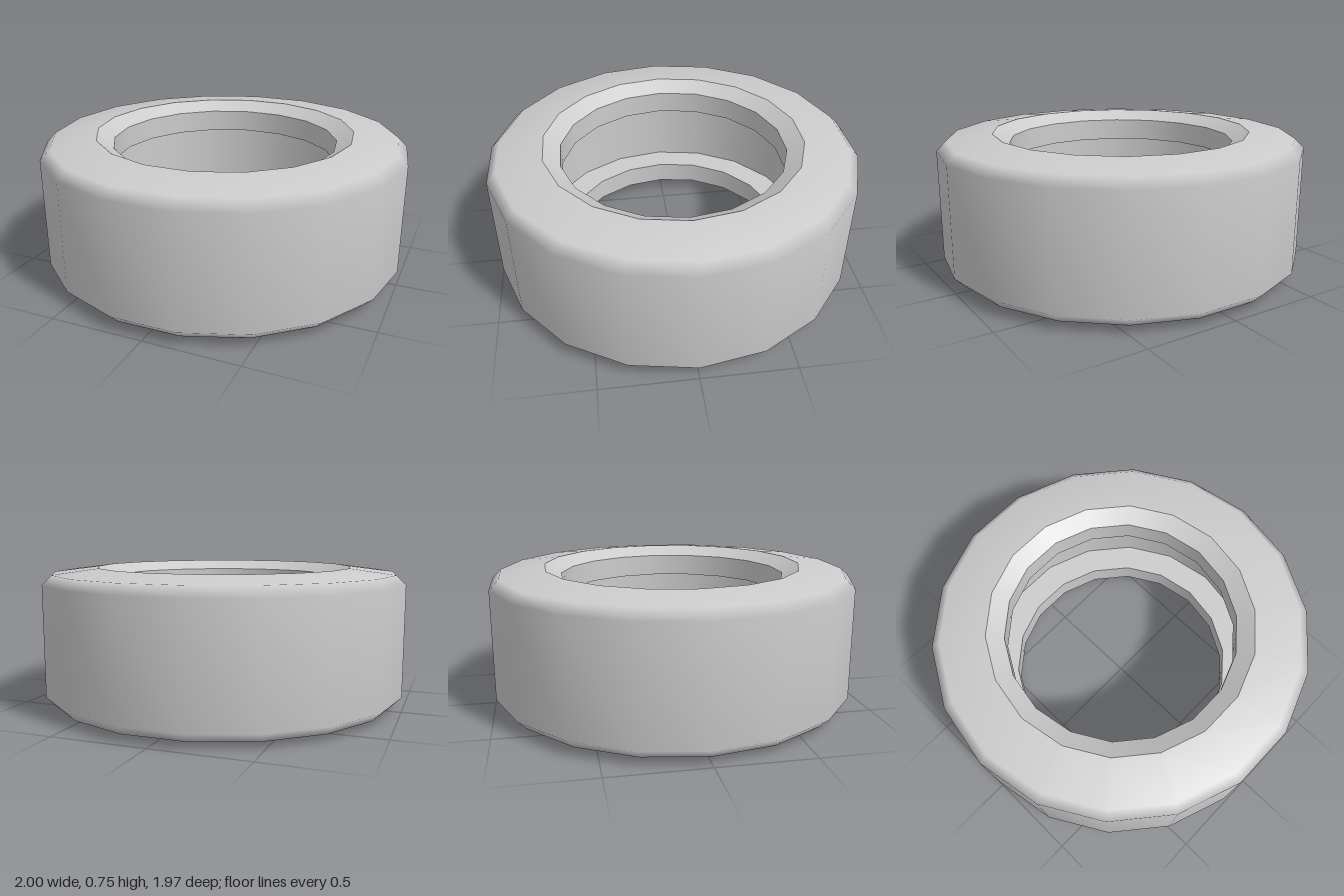
import * as THREE from 'three';

const SIDES = 18;
const HEIGHT = 0.755;

export function createModel() {
  const group = new THREE.Group();
  group.name = 'tire';
  const material = new THREE.MeshStandardMaterial({ color: 0xcccccc });

  // Each strip of the section is its own smooth lathe, so edges between strips stay sharp.
  const ring = (name, profile) => {
    const points = profile.map(([r, y]) => new THREE.Vector2(r, y));
    const geometry = new THREE.LatheGeometry(points, SIDES, Math.PI / 2);
    const mesh = new THREE.Mesh(geometry, material);
    mesh.name = name;
    group.add(mesh);
  };
  // Mirrors a lower strip to the upper side, reversed to keep it facing out.
  const flip = (profile) => profile.map(([r, y]) => [r, HEIGHT - y]).reverse();

  // Outer tread, shoulders and both side walls
  const lowerOuter = [[0.705, 0], [0.95, 0.03], [1, 0.08]];
  ring('treadAndSidewalls', [...lowerOuter, ...flip(lowerOuter)]);

  // Bead around each opening: bevel, lip and the ledge behind it
  const bead = {
    Bevel: [[0.615, 0.052], [0.705, 0]],
    Lip: [[0.615, 0.175], [0.615, 0.052]],
    Ledge: [[0.76, 0.178], [0.615, 0.175]],
  };
  for (const [part, profile] of Object.entries(bead)) {
    ring('lower' + part, profile);
    ring('upper' + part, flip(profile));
  }

  // Recessed wall between the ledges
  ring('innerWall', [[0.76, HEIGHT - 0.178], [0.76, 0.178]]);

  return group;
}
